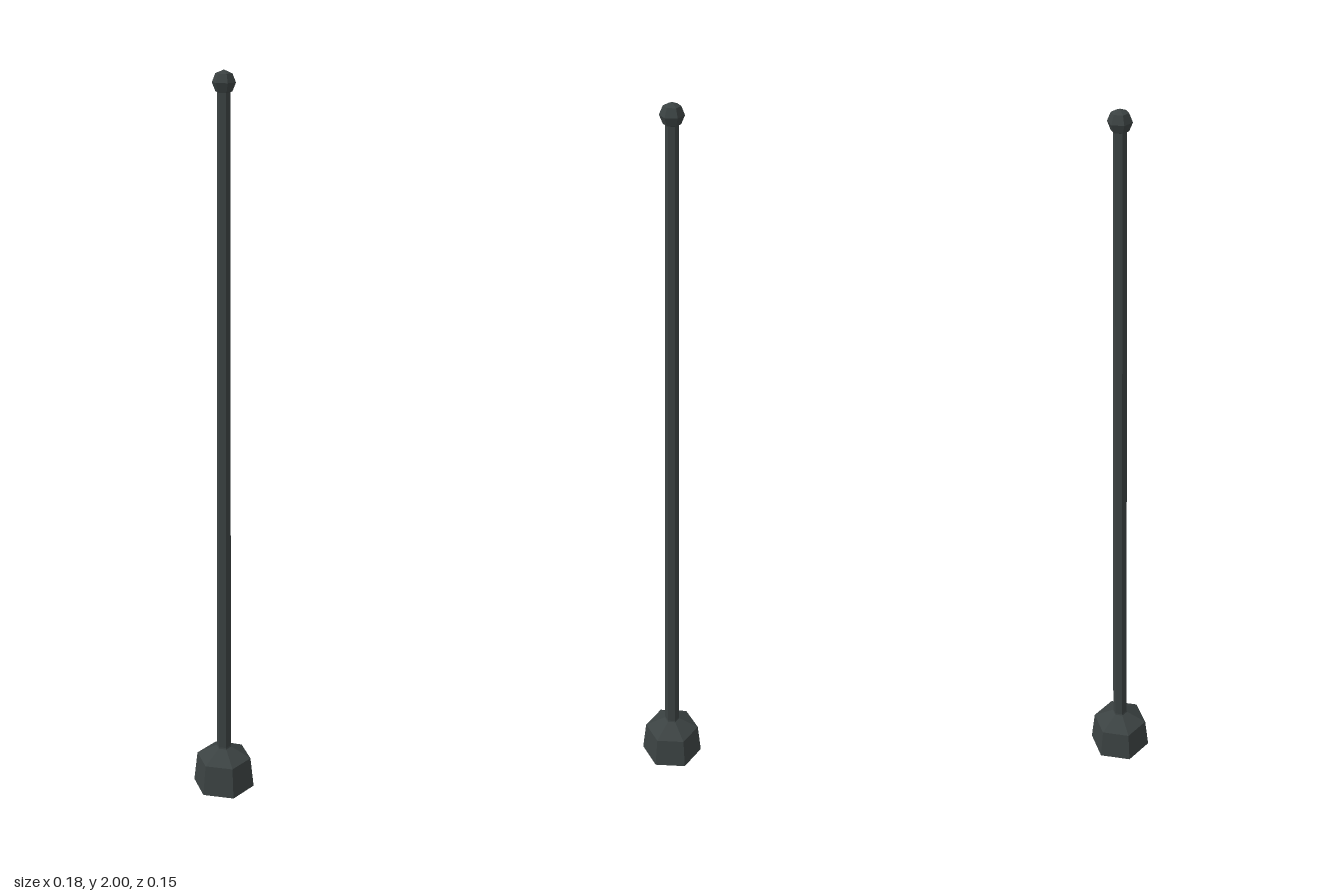
import * as THREE from 'three';

export function createModel() {
  const group = new THREE.Group();
  const rubber = new THREE.MeshStandardMaterial({ color: 0x3b4242, flatShading: true });
  rubber.name = 'dark grey rubber';

  const add = (name, geometry, y = 0) => {
    const mesh = new THREE.Mesh(geometry, rubber);
    mesh.name = name;
    mesh.position.y = y;
    group.add(mesh);
  };

  // Six-sided solid of revolution with corners on the x axis
  const hexLathe = (points) =>
    new THREE.LatheGeometry(points.map(([r, y]) => new THREE.Vector2(r, y)), 6, Math.PI / 6);

  // Flared foot with a shallow socket underneath and a sloped shoulder
  add('base', hexLathe([
    [0, 0.004], [0.055, 0.004], [0.058, 0], [0.088, 0],
    [0.078, 0.09], [0.022, 0.122], [0.019, 0.13],
  ]));

  // Long, slightly tapered mast
  add('mast', hexLathe([[0.0205, 0.11], [0.0165, 1.96]]));

  // Faceted tip
  add('tipBall', new THREE.SphereGeometry(0.03, 6, 4), 1.97);

  return group;
}
